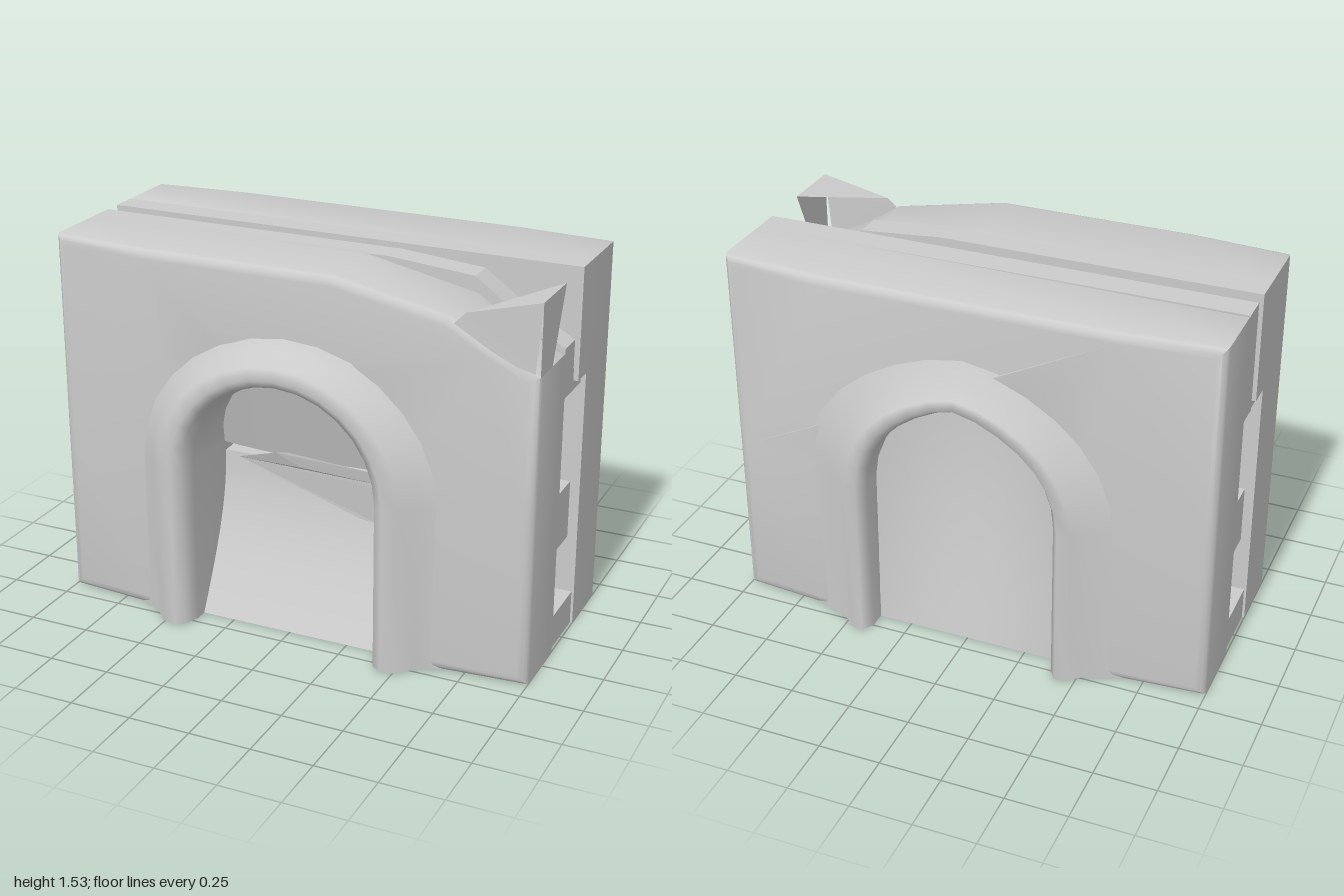
import * as THREE from 'three';
import { toCreasedNormals } from 'three/addons/utils/BufferGeometryUtils.js';

const mat = new THREE.MeshStandardMaterial({ color: 0xcccccc, side: THREE.DoubleSide });

function add(group, name, geo) {
  const m = new THREE.Mesh(geo, mat);
  m.name = name;
  group.add(m);
}

function polygon(pts) {
  return new THREE.Shape(pts.map(([x, y]) => new THREE.Vector2(x, y)));
}

function box(group, name, x0, x1, y0, y1, z0, z1) {
  const g = new THREE.BoxGeometry(x1 - x0, y1 - y0, z1 - z0);
  g.translate((x0 + x1) / 2, (y0 + y1) / 2, (z0 + z1) / 2);
  add(group, name, g);
}

// Points up one leg, round the head and down the other leg
function archPoints(r, spring) {
  const p = [[r, 0], [r, spring / 2]], n = 14;
  for (let i = 0; i <= n; i++) {
    const a = Math.PI * i / n;
    p.push([r * Math.cos(a), spring + r * Math.sin(a)]);
  }
  p.push([-r, spring / 2], [-r, 0]);
  return p;
}

// Thick wall with softened outer edges and an arched notch; top runs right to left
function wallGeometry(top) {
  const shape = polygon([
    ...archPoints(0.41, 0.68).reverse(), [0.62, 0], [1, 0], [1, 0.7], ...top, [-1, 0.7], [-1, 0], [-0.62, 0],
  ]);
  const b = 0.04;
  const g = new THREE.ExtrudeGeometry(shape, {
    depth: 0.27, bevelEnabled: true, bevelSize: b, bevelThickness: 0.03, bevelOffset: -b, bevelSegments: 3,
  });
  g.translate(0, 0, 0.16);
  const p = g.attributes.position;
  for (let i = 0; i < p.count; i++) {
    let x = p.getX(i), y = p.getY(i), z = p.getZ(i);
    // inner edge stays square, outer face tapers to the ends
    if (z < 0.25) {
      if (Math.abs(x) > 0.9) x = Math.sign(x);
      if (y > 1.45 && x < 0.3) y = 1.53;
      if (y < 0.12) y = 0;
    } else {
      z -= 0.08 * Math.max(0, Math.abs(x) - 0.6);
    }
    p.setXYZ(i, x, y, z);
  }
  return toCreasedNormals(g, 0.8);
}

// Cross-section of [offset, z] points swept round the arch
function archTrim(section, point = 0) {
  const path = archPoints(0.39, 0.68), pos = [], idx = [], n = section.length;
  for (const [px, py] of path) {
    const dx = py > 0.68 ? px / 0.39 : Math.sign(px);
    const dy = py > 0.68 ? (py - 0.68) / 0.39 : 0;
    const peak = point * Math.max(0, 1 - Math.abs(px) / 0.2);
    for (const [d, z] of section) pos.push(px + dx * d, py + dy * d * 0.8 + peak, z);
  }
  for (let i = 0; i < path.length - 1; i++) {
    for (let j = 0; j < n - 1; j++) {
      const a = i * n + j;
      idx.push(a, a + 1, a + n, a + 1, a + n + 1, a + n);
    }
  }
  const g = new THREE.BufferGeometry();
  g.setAttribute('position', new THREE.Float32BufferAttribute(pos, 3));
  g.setIndex(idx);
  g.computeVertexNormals();
  return g;
}

// Infill block whose outer face follows depth(x, y)
function infill(y0, y1, depth) {
  const g = new THREE.BoxGeometry(0.84, y1 - y0, 0.1, 8, 8, 1);
  g.translate(0, (y0 + y1) / 2, 0.15);
  const p = g.attributes.position;
  for (let i = 0; i < p.count; i++)
    if (p.getZ(i) > 0.15) p.setZ(i, depth(p.getX(i), p.getY(i)));
  return toCreasedNormals(g, 0.7);
}

// Small faceted sheet from corner loops
function sheet(loops) {
  const pos = [];
  for (const l of loops)
    for (let i = 1; i < l.length - 1; i++) pos.push(...l[0], ...l[i], ...l[i + 1]);
  const g = new THREE.BufferGeometry();
  g.setAttribute('position', new THREE.Float32BufferAttribute(pos, 3));
  g.computeVertexNormals();
  return g;
}

export function createModel() {
  const group = new THREE.Group();
  const back = new THREE.Group();
  back.name = 'back';
  back.rotation.y = Math.PI;
  group.add(back);

  // Front wall, its top worn away towards the left corner, and plain back wall
  add(group, 'frontWall', wallGeometry(
    [[1, 1.25], [0.82, 1.34], [0.66, 1.44], [0.2, 1.53], [-0.6, 1.53], [-1, 1.53]]));
  add(back, 'backWall', wallGeometry([[1, 1.53], [0.6, 1.53], [-0.6, 1.53], [-1, 1.53]]));

  // Upper inner lips on either side of the top slot
  const lip = new THREE.ExtrudeGeometry(
    polygon([[-1, 1.08], [1, 1.08], [1, 1.27], [0.82, 1.37], [0.64, 1.5], [0.3, 1.53], [-1, 1.53]]),
    { depth: 0.11, bevelEnabled: false });
  lip.translate(0, 0, 0.035);
  add(group, 'frontLip', lip);
  box(group, 'backLip', -1, 1, 1.08, 1.53, -0.145, -0.035);

  // Core between the walls, with ribs framing the end recesses
  box(group, 'core', -0.8, 0.8, 0, 1.2, -0.135, 0.135);
  for (const s of [-1, 1]) {
    for (const [y0, y1, inset] of [[0, 0.14, 0.01], [0.38, 0.62, 0.04], [1.04, 1.13, 0.02]]) {
      const a = s * 0.78, b = s * (1 - inset);
      box(group, 'endRib', Math.min(a, b), Math.max(a, b), y0, y1, -0.14, 0.14);
    }
    const knob = new THREE.SphereGeometry(0.045, 8, 6);
    knob.translate(s * 0.94, 1.2, 0.01);
    add(group, 'slotKnob', knob);
  }

  // Raised arch surrounds
  add(group, 'frontArchTrim', archTrim(
    [[0, 0.14], [0, 0.47], [0.02, 0.53], [0.06, 0.555], [0.12, 0.545], [0.18, 0.48], [0.27, 0.44]]));
  add(back, 'backArchTrim', archTrim(
    [[0, 0.36], [0, 0.5], [0.03, 0.545], [0.08, 0.535], [0.13, 0.49], [0.28, 0.44]], 0.03));

  // Lower panel inside the front arch, leaning back from the foot
  add(group, 'frontArchPanel', infill(0, 0.64, (x, y) => 0.42 - 0.22 * Math.sin(Math.PI * 0.5 * y / 0.64)));
  // Broken strip across the top of the panel
  add(group, 'frontArchLedge', sheet([
    [[-0.31, 0.64, 0.24], [0.22, 0.47, 0.24], [0.31, 0.46, 0.24], [0.37, 0.62, 0.26],
      [0.33, 0.64, 0.26], [-0.02, 0.65, 0.26], [-0.13, 0.7, 0.27]],
    [[-0.13, 0.7, 0.27], [-0.02, 0.65, 0.26], [0.33, 0.64, 0.26], [0.28, 0.69, 0.27], [-0.08, 0.71, 0.27]],
  ]));
  // Upper panel leaning forward to the head of the arch
  add(group, 'frontArchHead', infill(0.68, 1.1, (x, y) => 0.24 + 0.3 * (y - 0.68) - 0.2 * x * x));

  // Back arch panel: flush at the foot and sides, hollowed towards the middle
  add(back, 'backArchPanel', infill(0, 1.12, (x, y) =>
    0.43 - 0.13 * Math.sin(Math.PI * 0.5 * y / 1.12) * (1 - (x / 0.42) ** 2)));

  // Loose flap left standing at the worn corner
  add(group, 'cornerFlap', sheet([
    [[0.72, 1.46, 0.44], [1, 1.53, 0.42], [1, 1.53, 0.17]],
    [[0.72, 1.46, 0.44], [0.62, 1.36, 0.45], [0.98, 1.26, 0.42], [1, 1.53, 0.42]],
    [[1, 1.53, 0.42], [1, 1.25, 0.42], [1, 1.25, 0.29], [1, 1.37, 0.24], [1, 1.53, 0.17]],
  ]));

  return group;
}
